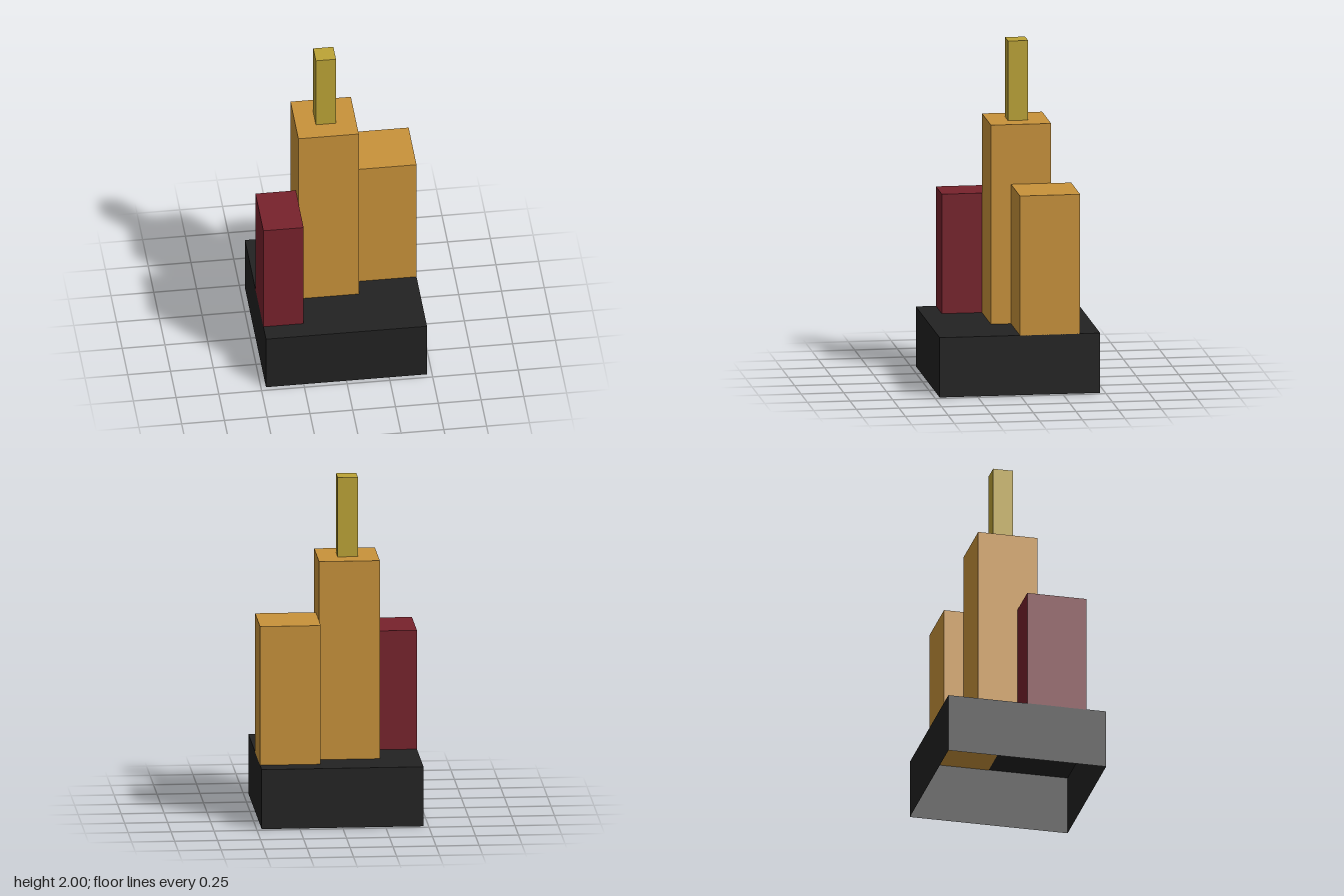
import * as THREE from 'three';

const U = 2 / 17; // grid unit: the model is 17 units tall on an 8 x 8 base

function material(name, color, side = THREE.FrontSide) {
  const m = new THREE.MeshStandardMaterial({ color, side });
  m.name = name;
  return m;
}

// Box given by its grid limits: [min, max] on each axis, in units
function block(name, mat, [x0, x1], [y0, y1], [z0, z1]) {
  const geometry = new THREE.BoxGeometry((x1 - x0) * U, (y1 - y0) * U, (z1 - z0) * U);
  const mesh = new THREE.Mesh(geometry, mat);
  mesh.name = name;
  mesh.position.set((x0 + x1) / 2 * U, (y0 + y1) / 2 * U, (z0 + z1) / 2 * U);
  return mesh;
}

export function createModel() {
  const black = material('charcoal', 0x222222, THREE.DoubleSide);
  const orange = material('ochre', 0xc8923a);
  const red = material('maroon', 0x77222c);
  const yellow = material('oliveGold', 0xbca336);

  // Hollow base: a thin-walled box without its underside
  const base = block('base', black, [-4, 4], [0, 3], [-4, 4]);
  const index = Array.from(base.geometry.index.array);
  index.splice(18, 6); // the -y face
  base.geometry.setIndex(index);
  base.geometry.clearGroups();

  // Undersides of the towers show just below the base's ceiling
  const foot = 3 - 0.01;
  const group = new THREE.Group();
  group.name = 'towerBlocks';
  group.add(
    base,
    block('centreTower', orange, [-2, 1], [foot, 13], [-2, 1]),
    block('leftTower', orange, [1, 4], [foot, 10], [-3, 0]),
    block('rightTower', red, [-4, -2], [foot, 9], [0, 3]),
    block('spire', yellow, [-1, 0], [13, 17], [-1, 0]),
  );
  return group;
}
